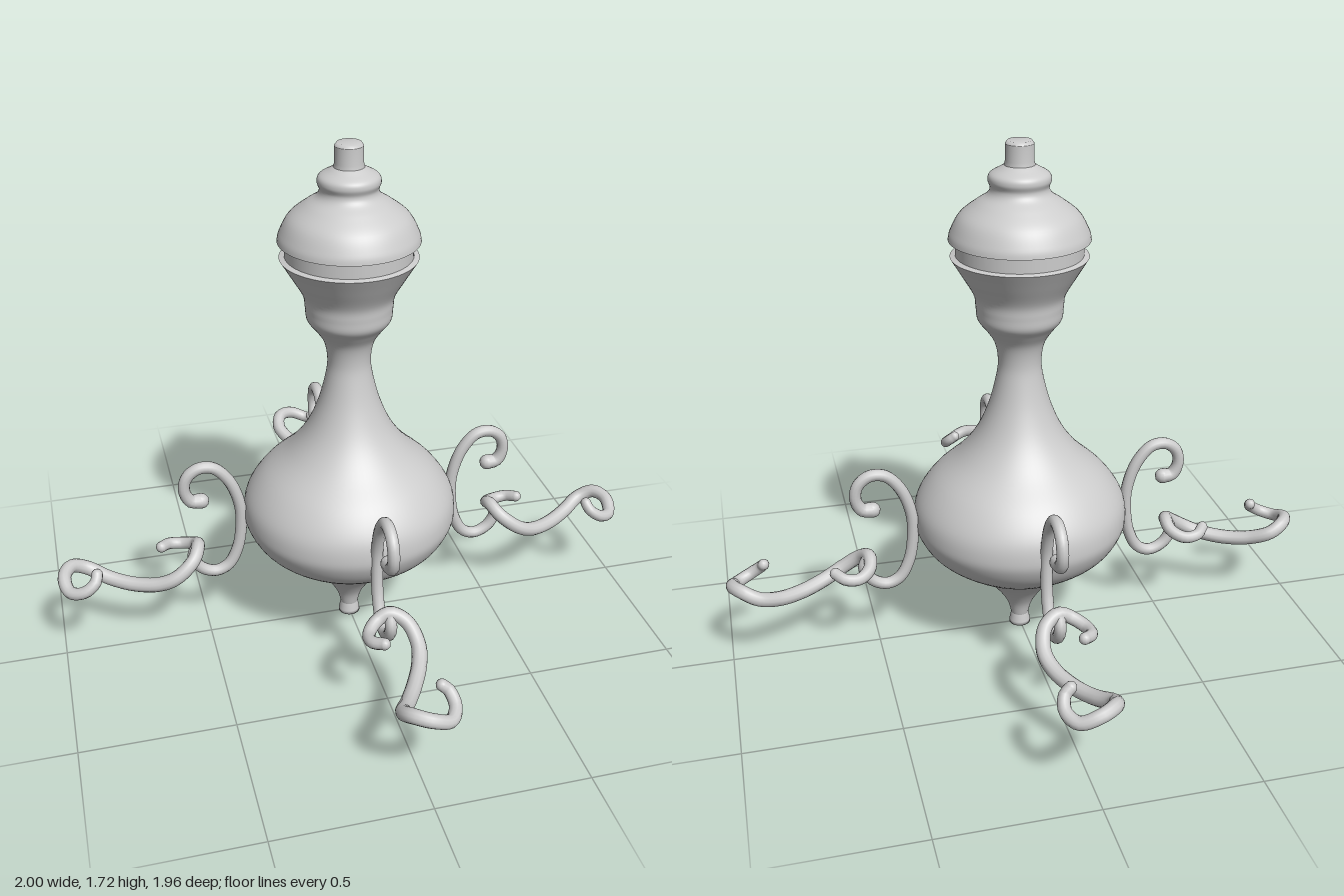
import * as THREE from 'three';

const grey = new THREE.MeshStandardMaterial({ color: 0xcccccc, side: THREE.DoubleSide });

// Turned part: smooth spline through [radius, y] points, or straight lines
function turned(name, pts, smooth = true) {
  let profile = pts.map(([r, y]) => new THREE.Vector2(r, y));
  if (smooth) profile = new THREE.SplineCurve(profile).getPoints(pts.length * 5);
  const mesh = new THREE.Mesh(new THREE.LatheGeometry(profile, 64), grey);
  mesh.name = name;
  return mesh;
}

// Round bar along a smooth path, with its radius varying along the length
function bar(name, points, radiusAt) {
  const seg = 72, sides = 12;
  const curve = new THREE.CatmullRomCurve3(points, false, 'centripetal');
  const geo = new THREE.TubeGeometry(curve, seg, 1, sides);
  const pos = geo.attributes.position, v = new THREE.Vector3();
  for (let i = 0; i <= seg; i++) {
    const c = curve.getPointAt(i / seg), r = radiusAt(i / seg);
    for (let j = 0; j <= sides; j++) {
      const k = i * (sides + 1) + j;
      v.fromBufferAttribute(pos, k).sub(c).multiplyScalar(r).add(c);
      pos.setXYZ(k, v.x, v.y, v.z);
    }
  }
  const group = new THREE.Group();
  group.name = name;
  group.add(new THREE.Mesh(geo, grey));
  // rounded ends
  for (const t of [0, 1]) {
    const cap = new THREE.Mesh(new THREE.SphereGeometry(radiusAt(t), 12, 8), grey);
    cap.position.copy(curve.getPointAt(t));
    group.add(cap);
  }
  return group;
}

// Paths as [outward, height, sideways]
const SCROLL = [
  [0.505, 0.525, 0], [0.54, 0.53, 0], [0.56, 0.57, 0], [0.55, 0.62, 0], [0.51, 0.65, 0],
  [0.46, 0.645, 0], [0.41, 0.59, 0], [0.378, 0.5, 0], [0.374, 0.42, 0], [0.39, 0.32, 0],
  [0.425, 0.255, 0], [0.47, 0.237, 0], [0.52, 0.26, 0], [0.545, 0.31, 0], [0.53, 0.345, 0],
];
const HOOK = [
  [0.645, 0.33, -0.05], [0.615, 0.32, -0.08], [0.57, 0.315, -0.08], [0.53, 0.33, -0.045],
  [0.525, 0.35, 0], [0.55, 0.325, 0.05], [0.61, 0.28, 0.07], [0.67, 0.252, 0.055],
  [0.75, 0.24, 0.015], [0.83, 0.25, -0.03], [0.9, 0.28, -0.065], [0.95, 0.305, -0.05],
  [0.978, 0.3, 0], [0.965, 0.277, 0.06], [0.92, 0.287, 0.088], [0.88, 0.315, 0.08],
  [0.872, 0.333, 0.06],
];

export function createModel() {
  const model = new THREE.Group();
  model.name = 'lampBody';

  // Foot, bulb, neck and cup
  model.add(turned('foot', [[0, 0], [0.037, 0], [0.036, 0.012], [0.03, 0.04]], false));
  model.add(turned('vessel', [
    [0.03, 0.04], [0.047, 0.095], [0.095, 0.165], [0.165, 0.232], [0.245, 0.283],
    [0.315, 0.34], [0.352, 0.4], [0.361, 0.45], [0.347, 0.515], [0.295, 0.59],
    [0.205, 0.675], [0.145, 0.755], [0.103, 0.85], [0.077, 0.95], [0.071, 1.01],
    [0.082, 1.07], [0.11, 1.115], [0.136, 1.15], [0.141, 1.19], [0.148, 1.235],
    [0.185, 1.3], [0.22, 1.358],
  ]));
  model.add(turned('cupRim', [[0.22, 1.358], [0.203, 1.363]], false));
  model.add(turned('collar', [[0.203, 1.36], [0.203, 1.415]], false));

  // Domed lid with stepped finial
  model.add(turned('lidUnderside', [[0.19, 1.413], [0.225, 1.413]], false));
  model.add(turned('lid', [
    [0.225, 1.413], [0.218, 1.44], [0.19, 1.49], [0.14, 1.53], [0.103, 1.555],
    [0.092, 1.577], [0.099, 1.6], [0.093, 1.62], [0.065, 1.637], [0.048, 1.647],
  ]));
  model.add(turned('finial', [[0.05, 1.64], [0.045, 1.66], [0.045, 1.712]], false));
  model.add(turned('finialTop', [[0.045, 1.712], [0.038, 1.722], [0, 1.722]], false));

  // Four arms: a scroll against the bulb with a hook linked through it
  const places = {
    left: ([u, y, v]) => new THREE.Vector3(u, y, v - 0.02),
    right: ([u, y, v]) => new THREE.Vector3(-u, y, v - 0.02),
    front: ([u, y, v]) => new THREE.Vector3(v, y, u - 0.02),
    back: ([u, y, v]) => new THREE.Vector3(v, y, -u + 0.02),
  };
  for (const [side, place] of Object.entries(places)) {
    const arm = new THREE.Group();
    arm.name = side + 'Arm';
    arm.add(bar('scroll', SCROLL.map(place), t => 0.02 + 0.006 * Math.max(0, 1 - t * 12)));
    arm.add(bar('hook', HOOK.map(place), t => 0.019 + 0.006 * Math.sin(Math.PI * t)));
    model.add(arm);
  }
  return model;
}
